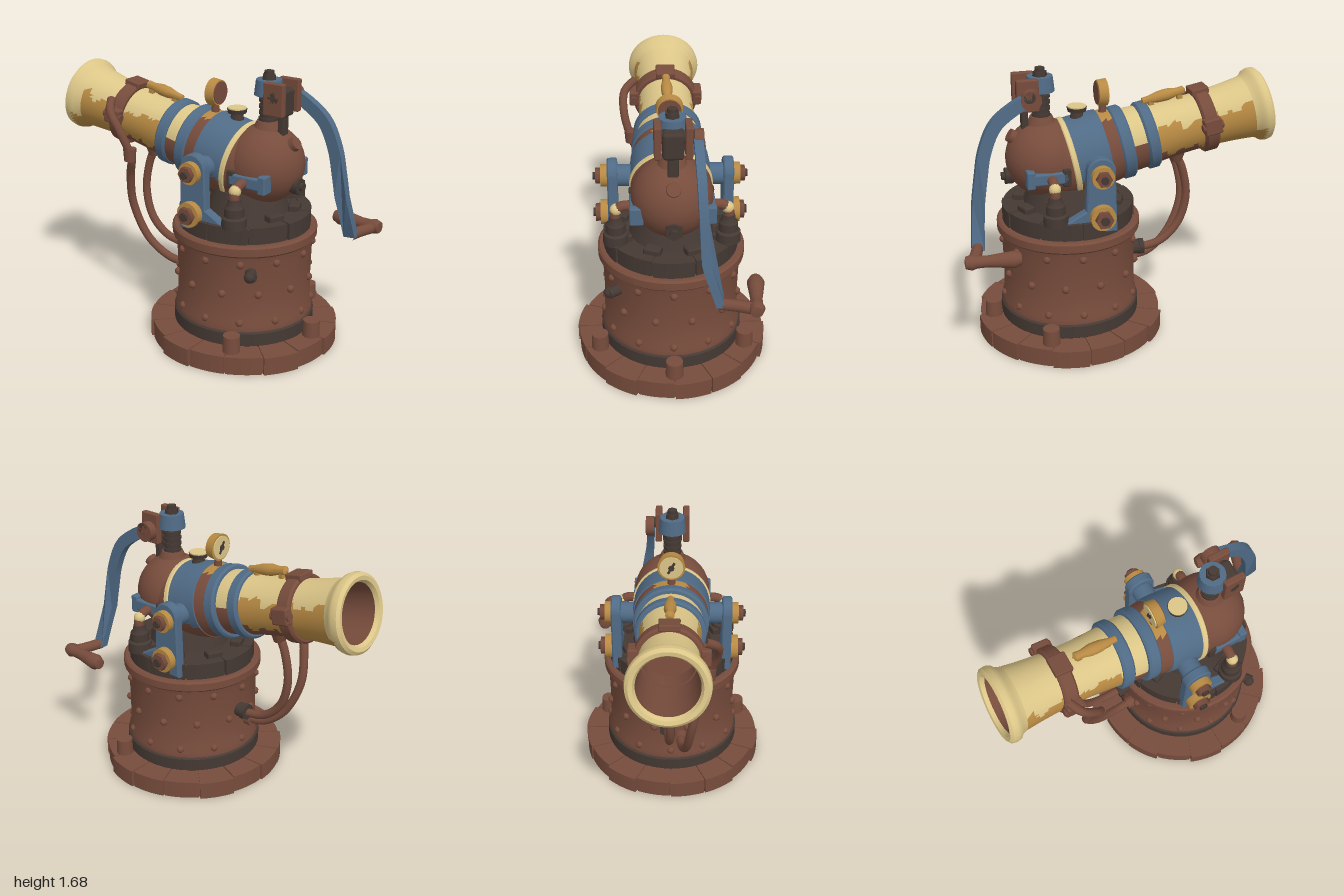
import * as THREE from 'three';
import { toCreasedNormals } from 'three/addons/utils/BufferGeometryUtils.js';
import { RoundedBoxGeometry } from 'three/addons/geometries/RoundedBoxGeometry.js';

const mat = (name, color) => Object.assign(new THREE.MeshStandardMaterial({ color }), { name });
const V = (x, y, z) => new THREE.Vector3(x, y, z);

export function createModel() {
  const rust = mat('rust brown', 0x774c3c), dark = mat('dark iron', 0x453933), blue = mat('worn blue', 0x506b86);
  const cream = mat('pale brass', 0xdcc688), gold = mat('aged brass', 0xb88a43);
  const model = new THREE.Group();
  model.name = 'deckCannon';
  const CZ = 0.29; // z of the pedestal axis

  const add = (parent, name, geo, material, p = [0, 0, 0], r = [0, 0, 0]) => {
    const m = new THREE.Mesh(geo, material);
    m.name = name;
    m.position.set(...p);
    m.rotation.set(...r);
    parent.add(m);
    return m;
  };
  const cyl = (rt, rb, h, n = 24) => new THREE.CylinderGeometry(rt, rb, h, n);
  const box = (x, y, z) => new RoundedBoxGeometry(x, y, z, 2, Math.min(x, y, z) * 0.2);
  const ball = (r, n = 12) => new THREE.SphereGeometry(r, n, Math.ceil(n / 2));
  const lathe = (pts, n = 48) =>
    toCreasedNormals(new THREE.LatheGeometry(pts.map(p => new THREE.Vector2(...p)), n), 0.7);
  const band = (r0, r1, y0, y1, b = 0.012) =>
    lathe([[r0, y0], [r1 - b, y0], [r1, y0 + b], [r1, y1 - b], [r1 - b, y1], [r0, y1]]);
  const tube = (pts, r, n = 32) => new THREE.TubeGeometry(new THREE.CatmullRomCurve3(pts), n, r, 10);
  const ALONG_X = [0, 0, Math.PI / 2], ALONG_Z = [Math.PI / 2, 0, 0];

  // Splits a surface into worn colour patches: rule(angle from top, height) gives a material number
  const paint = (geo, rule) => {
    const p = geo.attributes.position, lists = [[], [], []];
    for (let i = 0; i < p.count; i += 3) {
      const mid = k => (p[k](i) + p[k](i + 1) + p[k](i + 2)) / 3;
      lists[rule(Math.atan2(mid('getX'), mid('getZ')), mid('getY'))].push(i, i + 1, i + 2);
    }
    geo.setIndex(lists.flat());
    let start = 0;
    lists.forEach((l, k) => { if (l.length) geo.addGroup(start, l.length, k); start += l.length; });
    return geo;
  };

  // Ring of slabs with thin gaps
  const slabRing = (name, count, r0, r1, y0, h, material, gap, wobble) => {
    const g = new THREE.Group();
    g.name = name;
    g.position.set(0, y0, CZ);
    model.add(g);
    for (let i = 0; i < count; i++) {
      const a = i / count * Math.PI * 2 + gap, b = (i + 1) / count * Math.PI * 2 - gap;
      const R = r1 - wobble * (0.5 + 0.5 * Math.sin(i * 2.4));
      const s = new THREE.Shape();
      s.absarc(0, 0, R, a, b, false);
      s.absarc(0, 0, r0, b, a, true);
      const geo = new THREE.ExtrudeGeometry(s, { depth: h, bevelEnabled: false, curveSegments: 8 });
      add(g, name + 'Slab', geo.rotateX(-Math.PI / 2), material);
    }
  };

  // Pedestal
  slabRing('base', 16, 0.4, 0.582, 0, 0.11, rust, 0.008, 0.018);
  const pedestal = new THREE.Group();
  pedestal.name = 'pedestal';
  pedestal.position.z = CZ;
  model.add(pedestal);
  add(pedestal, 'baseCore', lathe([[0, 0.09], [0.335, 0.09], [0.335, 0.002], [0.56, 0.002], [0.56, 0.1], [0, 0.1]]), rust);
  add(pedestal, 'footRing', band(0, 0.43, 0.1, 0.2), dark);
  add(pedestal, 'drum', lathe([[0, 0.19], [0.42, 0.19], [0.42, 0.23], [0.408, 0.26], [0.405, 0.45], [0.41, 0.63], [0.42, 0.68], [0, 0.68]]), rust);
  add(pedestal, 'drumCollar', band(0, 0.437, 0.67, 0.74), rust);
  add(pedestal, 'turntable', band(0, 0.385, 0.73, 0.835), dark);
  slabRing('turntableRim', 10, 0.33, 0.402, 0.74, 0.1, dark, 0.012, 0.008);
  for (let i = 0; i < 3; i++) {
    const a = (i - 1) * Math.PI * 0.36;
    add(pedestal, 'baseKnob', cyl(0.05, 0.053, 0.11, 16), rust, [0.485 * Math.sin(a), 0.155, 0.485 * Math.cos(a)]);
  }
  for (let i = 0; i < 36; i++) {
    const row = i % 3, a = (Math.floor(i / 3) + (row === 1 ? 0.5 : 0)) * Math.PI / 6;
    add(pedestal, 'stud', ball(0.024, 10), rust, [0.407 * Math.sin(a), [0.25, 0.43, 0.62][row], 0.407 * Math.cos(a)]);
  }
  for (let i = 0; i < 8; i++) {
    const a = (i + 0.5) * Math.PI / 4;
    add(pedestal, 'turntableLug', box(0.1, 0.06, 0.07), dark, [0.3 * Math.sin(a), 0.845, 0.3 * Math.cos(a)], [0, a, 0]);
  }
  add(pedestal, 'swivelNeck', cyl(0.2, 0.25, 0.14, 32), dark, [0, 0.9, 0.02]);
  add(pedestal, 'drainValve', cyl(0.03, 0.035, 0.09, 12), dark, [-0.34, 0.57, 0.27], [Math.PI / 2, -0.9, 0, 'YXZ']);
  add(pedestal, 'drainKnob', ball(0.034), dark, [-0.37, 0.57, 0.28]);

  // Gun: local y runs along the barrel, local z is up
  const gun = new THREE.Group();
  gun.name = 'gun';
  gun.position.set(0, 1.09, 0.42);
  gun.rotation.x = -79 * Math.PI / 180;
  model.add(gun);
  const mats = [cream, gold, rust];
  const wave = (a, y) => 0.13 * Math.sin(y * 23 + a * 3) + 0.09 * Math.sin(y * 57);
  add(model, 'breechDome', ball(0.235, 40), rust, [0, 1.13, 0.425]);
  add(gun, 'breechBody', paint(lathe([[0.2, 0], [0.228, 0.06], [0.235, 0.13], [0.235, 0.18], [0.236, 0.24], [0.236, 0.3], [0.232, 0.36], [0.2, 0.37]]),
    (a, y) => Math.abs(a) < 2 + wave(a, y) && y > 0.12 ? 0 : 2), [blue, blue, rust]);
  add(gun, 'breechBand', band(0.2, 0.243, 0.125, 0.16, 0.006), cream);
  add(gun, 'breechNeck', paint(lathe([[0.226, 0.36], [0.222, 0.4], [0.212, 0.45]]), a => Math.abs(a) < 0.45 ? 1 : 2), mats);
  add(gun, 'rearRing', band(0.17, 0.225, 0.43, 0.51), blue);
  add(gun, 'spacer', paint(lathe([[0.195, 0.5], [0.195, 0.55], [0.19, 0.61]]), a => Math.abs(a) < 1.4 ? 0 : 2), mats);
  add(gun, 'frontRing', band(0.15, 0.208, 0.595, 0.67), blue);
  const profile = [];
  for (let i = 0; i <= 22; i++) {
    const t = i / 22;
    profile.push([0.185 - 0.065 * t + 0.075 * t * t, 0.65 + 0.64 * t]);
  }
  add(gun, 'barrel', paint(lathe(profile, 60), (a, y) => {
    const w = Math.abs(a) + wave(a, y);
    return w > 2.1 + Math.max(0, y - 0.8) * 2.2 ? 2 : w > 1.15 ? 1 : 0;
  }), mats);
  add(gun, 'muzzleLip', paint(lathe([[0.19, 1.27], [0.205, 1.31], [0.222, 1.325], [0.23, 1.35], [0.226, 1.38], [0.208, 1.395], [0.185, 1.39], [0.172, 1.365]], 60),
    (a, y) => Math.abs(a) + wave(a, y) > 1.9 && y < 1.34 ? 1 : 0), mats);
  add(gun, 'bore', lathe([[0.172, 1.366], [0.16, 1.2], [0.155, 0.9], [0, 0.9]]), rust);

  // Barrel clamp with lugs and the carrying grip
  add(gun, 'clamp', band(0.15, 0.2, 0.955, 1.045), rust);
  for (const s of [-1, 1]) {
    add(gun, 'clampLug', box(0.06, 0.11, 0.1), rust, [s * 0.2, 1, 0.02]);
    add(gun, 'clampBolt', cyl(0.025, 0.025, 0.13, 8), rust, [s * 0.205, 1, 0.02]);
  }
  add(gun, 'clampTop', box(0.12, 0.11, 0.04), rust, [0, 1, 0.195]);
  add(gun, 'grip', lathe([[0, 0.64], [0.02, 0.65], [0.022, 0.69], [0.034, 0.75], [0.036, 0.81], [0.024, 0.87], [0.026, 0.91], [0, 0.925]], 16), gold, [0, 0, 0.215]);
  for (const y of [0.7, 0.88]) add(gun, 'gripFoot', box(0.035, 0.035, 0.06), gold, [0, y, 0.185]);

  // Filler cap and pressure gauge on top
  add(model, 'fillerNeck', cyl(0.03, 0.045, 0.07, 16), dark, [0, 1.38, 0.225]);
  add(model, 'fillerCap', cyl(0.06, 0.055, 0.025), dark, [0, 1.412, 0.225]);
  add(model, 'fillerCapTop', cyl(0.056, 0.056, 0.008), cream, [0, 1.428, 0.225]);
  add(model, 'gaugeStem', cyl(0.02, 0.028, 0.12, 12), rust, [0, 1.39, 0.07]);
  add(model, 'gaugeCase', cyl(0.082, 0.075, 0.055, 32), gold, [0, 1.5, 0.075], [-Math.PI / 2, 0, 0]);
  add(model, 'gaugeBack', cyl(0.068, 0.068, 0.008, 32), rust, [0, 1.5, 0.104], ALONG_Z);
  add(model, 'gaugeFace', cyl(0.07, 0.07, 0.008, 32), cream, [0, 1.5, 0.045], ALONG_Z);
  add(model, 'gaugeNeedle', box(0.014, 0.08, 0.006), dark, [0, 1.5, 0.039], [0, 0, 0.5]);
  add(model, 'gaugeHub', cyl(0.018, 0.018, 0.008, 12), dark, [0, 1.5, 0.039], ALONG_Z);

  // Cradle, bolts, side ribs and valves, mirrored
  const arm = new THREE.Shape();
  arm.moveTo(-0.39, 0.77);
  arm.lineTo(-0.08, 0.77);
  arm.lineTo(-0.09, 1.14);
  arm.absarc(-0.165, 1.14, 0.077, 0, Math.PI, false);
  arm.lineTo(-0.25, 0.9);
  arm.lineTo(-0.38, 0.83);
  const armGeo = new THREE.ExtrudeGeometry(arm, { depth: 0.045, bevelSize: 0.008, bevelThickness: 0.008, bevelSegments: 1 });
  armGeo.translate(0, 0, -0.0225).rotateY(Math.PI / 2);
  for (const s of [-1, 1]) {
    add(model, 'cradleArm', armGeo, blue, [s * 0.34, 0, 0]);
    add(model, 'trunnion', cyl(0.065, 0.065, 0.16), blue, [s * 0.26, 1.12, 0.165], ALONG_X);
    for (const [y, x, r] of [[1.12, 0.385, 0.066], [0.87, 0.39, 0.075]]) {
      add(model, 'boltWasher', cyl(r, r, 0.05), gold, [s * x, y, 0.165], ALONG_X);
      add(model, 'boltHead', cyl(r * 0.72, r * 0.72, 0.04, 6), rust, [s * (x + 0.035), y, 0.165], ALONG_X);
      add(model, 'boltTip', cyl(r * 0.35, r * 0.35, 0.03, 8), dark, [s * (x + 0.055), y, 0.165], ALONG_X);
    }
    add(model, 'sideRib', box(0.07, 0.075, 0.24), blue, [s * 0.21, 1.075, 0.44]);
    for (const z of [0.34, 0.55]) add(model, 'sideRibEnd', box(0.08, 0.11, 0.05), z > 0.5 ? blue : dark, [s * 0.205, 1.075, z]);
    add(model, 'valveFoot', lathe([[0, 0.83], [0.075, 0.83], [0.072, 0.89], [0.058, 0.9], [0.056, 0.95], [0.042, 0.965], [0.036, 1], [0, 1]], 20), dark, [s * 0.325, 0, 0.43]);
    add(model, 'valvePipe', tube([V(s * 0.325, 0.97, 0.43), V(s * 0.325, 1.03, 0.43), V(s * 0.29, 1.065, 0.43), V(s * 0.2, 1.07, 0.43)], 0.03), rust);
    add(model, 'valveCap', ball(0.036), cream, [s * 0.32, 1.045, 0.43]);
  }

  // Plugs on the breech dome
  add(model, 'lowerPlug', cyl(0.053, 0.053, 0.05, 6), dark, [0, 1.03, 0.645], ALONG_Z);
  add(model, 'lowerPlugTip', cyl(0.025, 0.025, 0.04, 8), dark, [0, 1.03, 0.67], ALONG_Z);
  add(model, 'upperPlug', cyl(0.04, 0.045, 0.06, 12), rust, [0, 1.27, 0.61], [1, 0, 0]);

  // Pump post and hinge
  add(model, 'pumpCollar', cyl(0.065, 0.1, 0.08), rust, [0, 1.35, 0.44]);
  add(model, 'pumpRod', cyl(0.048, 0.048, 0.24, 16), dark, [0, 1.45, 0.44]);
  for (let i = 0; i < 4; i++) add(model, 'pumpThread', cyl(0.056, 0.056, 0.018, 16), dark, [0, 1.4 + i * 0.037, 0.44]);
  add(model, 'pumpHead', cyl(0.075, 0.085, 0.09, 20), blue, [0, 1.585, 0.44]);
  add(model, 'pumpNut', cyl(0.04, 0.045, 0.035, 6), dark, [0, 1.64, 0.44]);
  add(model, 'pumpTip', cyl(0.028, 0.03, 0.03, 12), dark, [0, 1.665, 0.44]);
  for (const s of [-1, 1]) add(model, 'hingePlate', box(0.04, 0.19, 0.13), rust, [s * 0.085, 1.54, 0.53]);
  add(model, 'hingeBlock', box(0.12, 0.16, 0.1), dark, [0, 1.51, 0.53]);
  add(model, 'hingeLink', box(0.06, 0.18, 0.04), dark, [0, 1.39, 0.54]);
  add(model, 'hingePin', cyl(0.035, 0.035, 0.27, 12), dark, [0.03, 1.55, 0.53], ALONG_X);
  add(model, 'hingeDisc', cyl(0.06, 0.06, 0.05, 20), rust, [0.14, 1.53, 0.52], ALONG_X);

  // Pump lever: side outline, then shifted sideways as it descends
  const path = new THREE.SplineCurve([[0.5, 1.54], [0.6, 1.5], [0.73, 1.4], [0.8, 1.25], [0.83, 1.1], [0.86, 0.9], [0.88, 0.69]]
    .map(([z, y]) => new THREE.Vector2(-z, y)));
  const sides = [[], []];
  for (let i = 0; i <= 28; i++) {
    const c = path.getPoint(i / 28), t = path.getTangent(i / 28);
    [0.037, -0.037].forEach((w, k) => sides[k].push(new THREE.Vector2(c.x - t.y * w, c.y + t.x * w)));
  }
  const lever = new THREE.ExtrudeGeometry(new THREE.Shape([...sides[0], ...sides[1].reverse()]), { depth: 0.05, bevelEnabled: false });
  lever.rotateY(Math.PI / 2);
  const lp = lever.attributes.position;
  for (let i = 0; i < lp.count; i++) {
    const y = lp.getY(i);
    lp.setX(i, lp.getX(i) + 0.11 + 0.05 * (1.54 - y) + Math.max(0, 0.95 - y) * 0.27);
  }
  add(model, 'pumpLever', toCreasedNormals(lever, 0.6), blue);
  add(model, 'handleNeck', tube([V(0.24, 0.7, 0.88), V(0.33, 0.7, 0.9), V(0.42, 0.7, 0.93)], 0.034), rust);
  add(model, 'handleGrip', lathe([[0, -0.17], [0.035, -0.16], [0.05, -0.12], [0.044, -0.06], [0.034, 0.03], [0.036, 0.09], [0.046, 0.12], [0.035, 0.155], [0, 0.16]], 20),
    rust, [0.45, 0.705, 0.82], [Math.PI / 2, 0, 0.09]);

  // Hoses from barrel to drum
  add(model, 'hoseNipple', cyl(0.06, 0.035, 0.07, 12), rust, [0, 1.06, -0.4]);
  add(model, 'centreHose', tube([V(0, 1.06, -0.4), V(0, 0.97, -0.44), V(0, 0.78, -0.47), V(0, 0.6, -0.42), V(0.01, 0.49, -0.3), V(0.02, 0.46, -0.12)], 0.026, 48), rust);
  add(model, 'sideHose', tube([V(-0.19, 1.4, -0.58), V(-0.26, 1.34, -0.53), V(-0.265, 1.22, -0.45), V(-0.22, 1.06, -0.41), V(-0.17, 0.92, -0.46),
    V(-0.13, 0.72, -0.475), V(-0.1, 0.5, -0.38), V(-0.07, 0.39, -0.24), V(-0.06, 0.37, -0.1)], 0.026, 64), rust);
  add(model, 'sideHoseCuff', cyl(0.042, 0.036, 0.08, 12), rust, [-0.225, 1.08, -0.415]);
  add(model, 'hoseSocket', cyl(0.045, 0.045, 0.09, 12), dark, [0.02, 0.47, -0.14], ALONG_Z);
  add(model, 'hoseSocketNut', cyl(0.055, 0.055, 0.03, 6), dark, [0.02, 0.47, -0.17], ALONG_Z);
  add(model, 'sideHoseSocket', cyl(0.04, 0.04, 0.06, 12), rust, [-0.06, 0.37, -0.13], ALONG_Z);
  return model;
}
